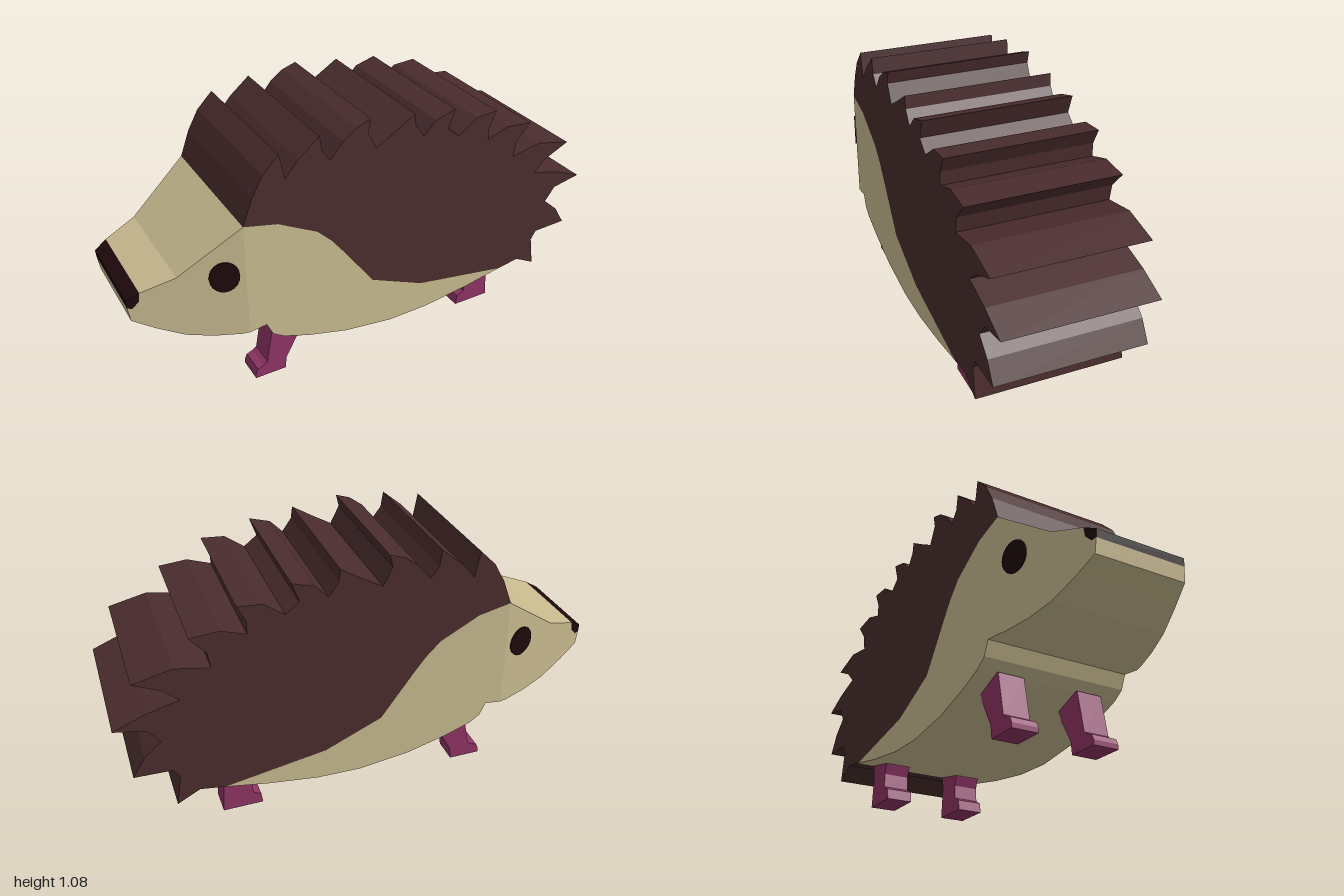
import * as THREE from 'three';

const HALF = 0.3;      // half thickness of the body
const NECK = -0.58;    // the head narrows in front of this x
const SLOPE = 0.275;   // narrowing per unit of x

const mat = (name, color) => new THREE.MeshStandardMaterial({ name, color });

// Extrudes an outline of [x, y] points, centred on z
function slab(points, half, centreZ = 0) {
  const shape = new THREE.Shape(points.map(([x, y]) => new THREE.Vector2(x, y)));
  const geo = new THREE.ExtrudeGeometry(shape, { depth: half * 2, bevelEnabled: false });
  return geo.translate(0, 0, centreZ - half);
}

// Narrows a slab towards the snout
function taper(geo) {
  const p = geo.attributes.position;
  for (let i = 0; i < p.count; i++) {
    const half = HALF - SLOPE * Math.max(0, NECK - p.getX(i));
    p.setZ(i, Math.sign(p.getZ(i)) * half);
  }
  geo.computeVertexNormals();
  return geo;
}

export function createModel() {
  const group = new THREE.Group();
  const tan = mat('tan fur', 0xc8ba8f);
  const brown = mat('brown spines', 0x4a2c2d);
  const plum = mat('plum legs', 0x8e3464);
  const dark = mat('dark nose and eyes', 0x1e090b);
  const add = (name, geo, material) => {
    const mesh = new THREE.Mesh(geo, material);
    mesh.name = name;
    group.add(mesh);
    return mesh;
  };

  // Line where the spiny coat meets the fur, from brow to tail
  const seam = [[-0.58, 0.785], [-0.445, 0.755], [-0.285, 0.67], [-0.225, 0.61],
    [-0.175, 0.545], [-0.04, 0.36], [0.195, 0.257], [0.61, 0.187]];

  // Belly and flanks
  add('belly', slab([...seam, [0.44, 0.155], [0.23, 0.127], [0.05, 0.123], [-0.16, 0.15],
    [-0.33, 0.195], [-0.44, 0.235], [-0.485, 0.265], [-0.51, 0.32], [-0.58, 0.311]], HALF), tan);

  // Head and nose
  const noseEdge = [[-0.95, 0.567], [-0.955, 0.53], [-0.98, 0.503], [-0.998, 0.508]];
  add('head', taper(slab([[-0.58, 0.785], [-0.58, 0.311], [-0.61, 0.31], [-0.71, 0.322],
    [-0.81, 0.348], [-0.91, 0.4], [-0.99, 0.45], ...[...noseEdge].reverse(),
    [-0.82, 0.61]], HALF)), tan);
  add('nose', taper(slab([...noseEdge, [-1, 0.54]], HALF)), dark);

  // Spiny coat: saw-toothed rim from brow to rump, closed along the seam
  add('spinyCoat', slab([
    [-0.58, 0.785], [-0.54, 0.89], [-0.495, 0.97], [-0.43, 1.035],
    [-0.41, 0.93], [-0.355, 0.995], [-0.27, 1.065],
    [-0.26, 1.0], [-0.227, 0.957], [-0.175, 1.02], [-0.12, 1.06], [-0.06, 1.08],
    [-0.072, 1.03], [-0.035, 0.957], [0.04, 1.0], [0.13, 1.055],
    [0.137, 1.005], [0.175, 0.952], [0.227, 1.005], [0.313, 1.03],
    [0.286, 0.952], [0.34, 0.91], [0.42, 0.968], [0.516, 0.975],
    [0.484, 0.91], [0.484, 0.857], [0.58, 0.89], [0.695, 0.88],
    [0.634, 0.81], [0.623, 0.745], [0.757, 0.77], [0.912, 0.735],
    [0.805, 0.685], [0.746, 0.633], [0.875, 0.6], [1.0, 0.55],
    [0.875, 0.525], [0.832, 0.466], [0.9, 0.407], [0.95, 0.327],
    [0.8, 0.322], [0.778, 0.284], [0.8, 0.155], [0.708, 0.203],
    ...[...seam].reverse().slice(0, -1)], HALF), brown);

  const frontLeg = [[-0.44, 0.24], [-0.452, 0.235], [-0.484, 0.065], [-0.5, 0.053],
    [-0.527, 0.043], [-0.537, 0.02], [-0.537, 0], [-0.404, 0], [-0.398, 0.053],
    [-0.35, 0.14], [-0.333, 0.193], [-0.333, 0.22]];
  const hindLeg = [[0.465, 0.2], [0.475, 0.157], [0.489, 0.118], [0.484, 0.06], [0.452, 0.043],
    [0.446, 0], [0.612, 0], [0.602, 0.14], [0.612, 0.183], [0.612, 0.2]];
  const tuft = [[-0.333, 0.195], [-0.33, 0.195], [-0.346, 0.142], [-0.35, 0.142]];

  for (const [side, s] of [['left', 1], ['right', -1]]) {
    // Legs, with a tuft of fur behind each front leg
    add(side + 'FrontLeg', slab(frontLeg, 0.054, s * 0.17), plum);
    add(side + 'HindLeg', slab(hindLeg, 0.054, s * 0.17), plum);
    add(side + 'LegTuft', slab(tuft, 0.054, s * 0.17), tan);

    // Eye, a thin oval plate lying on the slanted cheek
    const eye = add(side + 'Eye',
      new THREE.CylinderGeometry(1, 1, 0.006, 20).rotateX(Math.PI / 2).scale(0.057, 0.065, 1), dark);
    eye.position.set(-0.657, 0.583, s * (HALF - SLOPE * 0.077 + 0.002));
    eye.rotation.y = -s * Math.atan(SLOPE);
  }
  return group;
}
